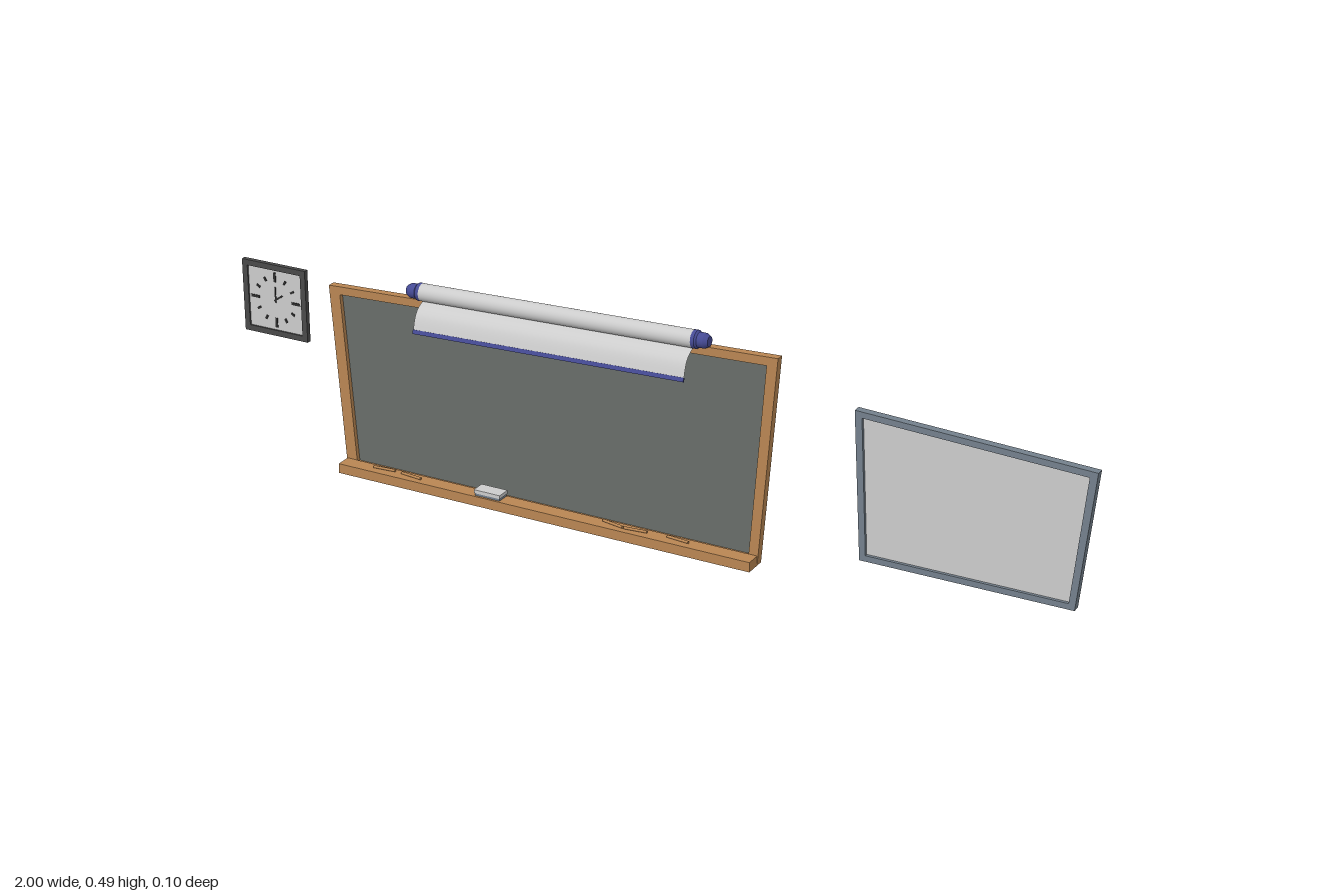
import * as THREE from 'three';

const mat = (color, extra = {}) => new THREE.MeshStandardMaterial({ color, ...extra });
const wood = mat(0xb98653), slate = mat(0x74808c), dark = mat(0x4a4a4a), black = mat(0x2c2c2c);
const boardGreen = mat(0x686d69), grey = mat(0xcccccc), blue = mat(0x454a94);
const paper = mat(0xdedede, { side: THREE.DoubleSide });

function add(parent, name, geometry, material, x = 0, y = 0, z = 0) {
  const mesh = new THREE.Mesh(geometry, material);
  mesh.name = name;
  mesh.position.set(x, y, z);
  parent.add(mesh);
  return mesh;
}

const outline = (pts) => pts.map(([x, y]) => new THREE.Vector2(x, y));
const extrude = (shape, depth) => new THREE.ExtrudeGeometry(shape, { depth, bevelEnabled: false });

// A framed board: rim with an opening, solid back and a recessed face
function framedBoard(name, outer, inner, front, back, recess, frameMat, faceMat) {
  const g = new THREE.Group();
  g.name = name;
  const rim = new THREE.Shape(outline(outer));
  rim.holes.push(new THREE.Path(outline(inner)));
  const face = front - recess, backDepth = face - 0.002 - back;
  add(g, name + 'Frame', extrude(rim, front - back - backDepth), frameMat, 0, 0, back + backDepth);
  add(g, name + 'Back', extrude(new THREE.Shape(outline(outer)), backDepth), frameMat, 0, 0, back);
  add(g, name + 'Face', extrude(new THREE.Shape(outline(inner)), 0.002), faceMat, 0, 0, face - 0.002);
  return g;
}

// Wall clock with hour marks and two hands
function createClock() {
  const x0 = -1, x1 = -0.836, y0 = 0.254, y1 = 0.42, b = 0.013;
  const rect = (i) => [[x0 + i, y0 + i], [x1 - i, y0 + i], [x1 - i, y1 - i], [x0 + i, y1 - i]];
  const g = framedBoard('clock', rect(0), rect(b), -0.041, -0.052, 0.004, dark, grey);
  const dial = new THREE.Group();
  dial.name = 'dial';
  dial.position.set((x0 + x1) / 2, (y0 + y1) / 2, -0.0445);
  g.add(dial);
  // A bar lying along a clockwise angle from the top, between two radii
  const bar = (name, angle, r0, r1, width) => {
    const r = (r0 + r1) / 2;
    const m = add(dial, name, new THREE.BoxGeometry(width, r1 - r0, 0.002), black,
      Math.sin(angle) * r, Math.cos(angle) * r, 0);
    m.rotation.z = -angle;
  };
  for (let i = 0; i < 12; i++) {
    const major = i % 3 === 0;
    bar('hourMark', i * Math.PI / 6, major ? 0.042 : 0.046, major ? 0.064 : 0.056, major ? 0.006 : 0.005);
  }
  bar('minuteHand', 0, -0.006, 0.03, 0.003);
  bar('hourHand', 0.95, -0.004, 0.022, 0.004);
  return g;
}

// Rolled screen with end caps and a curved hanging sheet
function createRoll() {
  const g = new THREE.Group();
  g.name = 'rolledScreen';
  g.position.set(-0.185, 0.461, 0.003);
  g.rotation.z = 0.034;
  const half = 0.325;
  const tube = add(g, 'roll', new THREE.CylinderGeometry(0.019, 0.019, half * 2, 28), paper);
  tube.rotation.z = Math.PI / 2;

  const cap = new THREE.LatheGeometry(outline([
    [0.0195, -0.004], [0.0195, 0.004], [0.0195, 0.004], [0.016, 0.008], [0.016, 0.008],
    [0.016, 0.022], [0.016, 0.022], [0.011, 0.031], [0.011, 0.031], [0, 0.031],
  ]), 24);
  for (const s of [-1, 1]) {
    add(g, 'endCap', cap, blue, s * half, 0, 0).rotation.z = -s * Math.PI / 2;
  }

  // Sheet: cross-section (z, y) swept along the roll
  const curve = new THREE.SplineCurve(outline([
    [0.002, -0.018], [0.018, -0.025], [0.031, -0.036], [0.039, -0.05], [0.046, -0.07],
  ]));
  const steps = 14, pts = curve.getPoints(steps);
  const sheet = new THREE.PlaneGeometry(0.64, 1, 1, steps);
  const p = sheet.attributes.position;
  for (let i = 0; i < p.count; i++) {
    const c = pts[Math.floor(i / 2)];
    p.setXYZ(i, p.getX(i), c.y, c.x);
  }
  sheet.computeVertexNormals();
  add(g, 'sheet', sheet, paper);
  const rod = add(g, 'bottomRod', new THREE.BoxGeometry(0.64, 0.009, 0.004), blue, 0, -0.072, 0.0465);
  rod.rotation.x = -0.35;
  return g;
}

export function createModel() {
  const model = new THREE.Group();
  model.name = 'classroomBoards';

  // Chalkboard with its tray
  const chalkboard = framedBoard('chalkboard',
    [[-0.715, 0], [0.283, 0], [0.321, 0.465], [-0.745, 0.42]],
    [[-0.69, 0.018], [0.263, 0.018], [0.296, 0.445], [-0.718, 0.403]],
    0, -0.018, 0.01, wood, boardGreen);
  model.add(chalkboard);
  add(chalkboard, 'tray', new THREE.BoxGeometry(0.998, 0.022, 0.035), wood, -0.216, 0.011, 0.0175);

  // Eraser: felt pad with a lighter grip
  add(chalkboard, 'eraserPad', new THREE.BoxGeometry(0.06, 0.006, 0.028), slate, -0.34, 0.026, 0.018);
  add(chalkboard, 'eraserGrip', new THREE.BoxGeometry(0.064, 0.008, 0.032), grey, -0.34, 0.033, 0.018);

  // Chalk sticks: x, z, turn
  const stick = new THREE.CylinderGeometry(0.003, 0.003, 0.052, 10).rotateZ(Math.PI / 2);
  for (const [x, z, turn] of [[-0.61, 0.014, 0.08], [-0.54, 0.017, -0.12], [-0.045, 0.015, -0.2],
    [0.01, 0.018, 0.1], [0.108, 0.015, -0.1]]) {
    add(chalkboard, 'chalk', stick, wood, x, 0.025, z).rotation.y = turn;
  }

  // Whiteboard
  model.add(framedBoard('whiteboard',
    [[0.51, 0.067], [0.968, 0.067], [0.998, 0.367], [0.49, 0.39]],
    [[0.523, 0.08], [0.955, 0.08], [0.981, 0.354], [0.506, 0.376]],
    0, -0.018, 0.007, slate, grey));

  model.add(createClock(), createRoll());
  return model;
}
